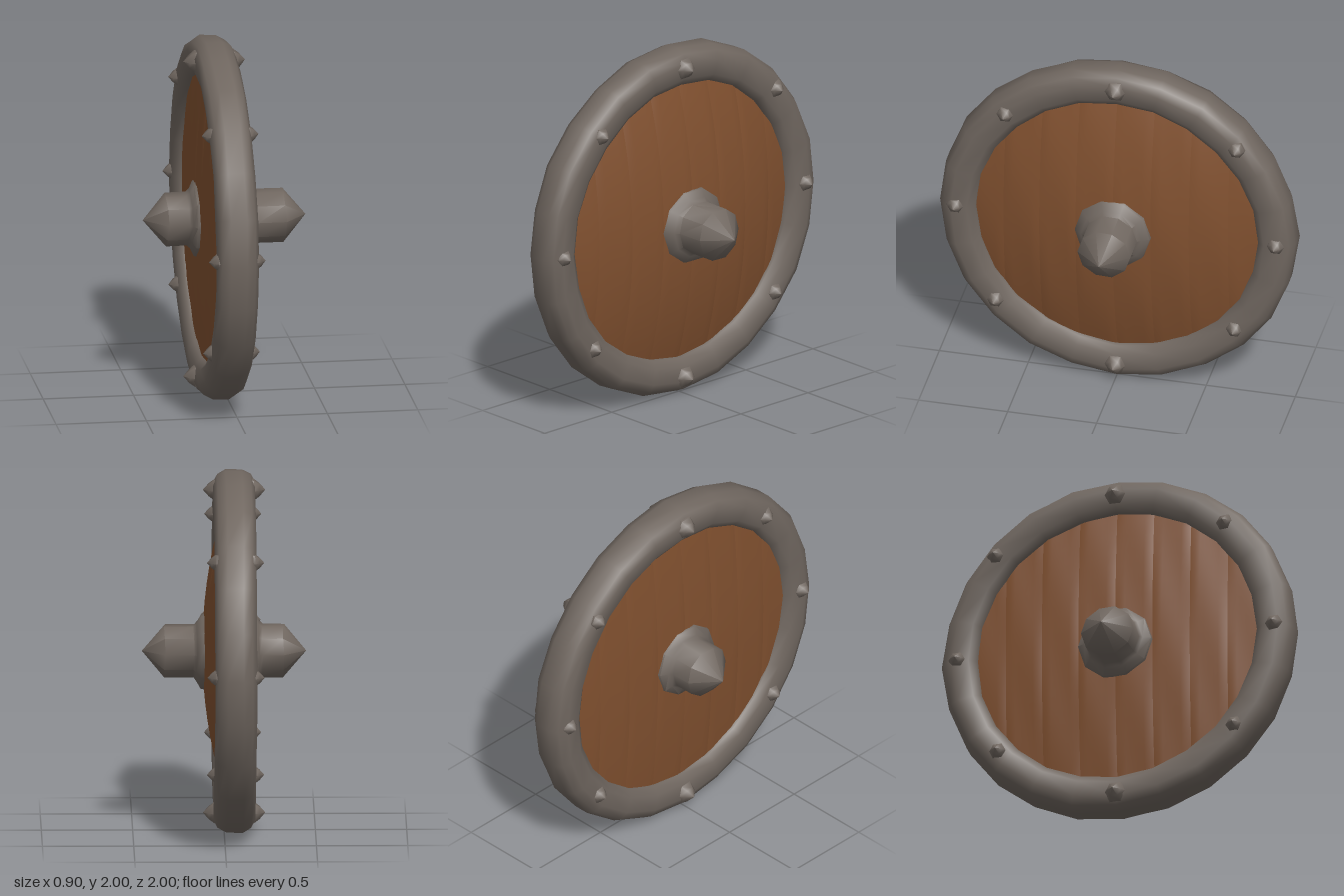
import * as THREE from 'three';
import { toCreasedNormals } from 'three/addons/utils/BufferGeometryUtils.js';

const RIM_X = -0.055;

export function createModel() {
  const group = new THREE.Group();
  const metal = new THREE.MeshStandardMaterial({ name: 'dull iron', color: 0x6f665f });
  const wood = new THREE.MeshStandardMaterial({ name: 'brown wood', color: 0x80502f });

  const add = (name, geometry, material) => {
    const mesh = new THREE.Mesh(geometry, material);
    mesh.name = name;
    group.add(mesh);
    return mesh;
  };

  // Profile of [radius, x] points turned about the shield's x axis, slightly hand-hammered
  const turned = (profile, segments, dent, crease) => {
    const g = new THREE.LatheGeometry(profile.map(([r, x]) => new THREE.Vector2(r, x)), segments);
    g.rotateZ(-Math.PI / 2);
    const p = g.attributes.position;
    for (let i = 0; i < p.count; i++) {
      const x = p.getX(i), y = p.getY(i), z = p.getZ(i);
      const k = 1 + dent * Math.sin(y * 13 + x * 19) * Math.cos(z * 17 - x * 11);
      p.setXYZ(i, x + dent * 0.6 * Math.sin(y * 21 + z * 16), y * k, z * k);
    }
    return toCreasedNormals(g, crease);
  };

  // Iron rim: closed rounded section
  const half = [[0.79, 0.035], [0.795, 0.075], [0.835, 0.106], [0.925, 0.115], [0.972, 0.092], [0.998, 0.045]];
  const section = [
    ...half.map(([r, x]) => [r, RIM_X - x]),
    ...half.map(([r, x]) => [r, RIM_X + x]).reverse(),
  ];
  section.push(section[0]);
  add('rim', turned(section, 24, 0.005, 1.2), metal).position.y = 1;

  // Domed wooden faces made of upright planks with shallow closed seams
  const R = 0.84, planks = 8;
  for (const side of [1, -1]) {
    const [base, rise] = side > 0 ? [-0.015, 0.133] : [0.113, 0.05];
    for (let n = 0; n < planks; n++) {
      const g = new THREE.PlaneGeometry(1, 1, 8, 18);
      const p = g.attributes.position;
      for (let i = 0; i < p.count; i++) {
        const u = p.getX(i) + 0.5, v = p.getY(i) * 2;
        const z = -R + (2 * R * (n + u)) / planks;
        const y = v * Math.sqrt(Math.max(0, R * R - z * z));
        const dome = base + rise * (1 - (y * y + z * z) / (R * R));
        const atSeam = u < 0.01 || u > 0.99;
        const relief = atSeam ? -0.003 : 0.002 * Math.sin(n * 5 + y * 6 + u * 4);
        p.setXYZ(i, side * (dome + relief), y, -side * z);
      }
      g.computeVertexNormals();
      add(side > 0 ? 'leftPlank' : 'rightPlank', g, wood).position.y = 1;
    }
  }

  // Central bosses: flared collar, thick post and pointed cap
  for (const side of [1, -1]) {
    const collar = side > 0
      ? [[0.222, 0.07], [0.21, 0.125], [0.17, 0.148], [0.148, 0.165]]
      : [[0.222, 0.11], [0.208, 0.172], [0.165, 0.192], [0.148, 0.21]];
    const profile = [...collar, [0.148, 0.325], [0, 0.45]];
    const boss = add(side > 0 ? 'leftBoss' : 'rightBoss', turned(profile, 10, 0.008, 1.0), metal);
    boss.position.y = 1;
    if (side < 0) boss.rotation.y = Math.PI;
  }

  // Pointed studs on both faces of the rim as [height from centre, z, radius]
  const studs = [
    [0.895, 0, 0.066], [-0.9, 0, 0.066], [0.01, 0.9, 0.052], [0.01, -0.9, 0.052],
    [0.65, 0.62, 0.052], [0.61, -0.68, 0.052], [-0.575, 0.675, 0.052], [-0.57, -0.67, 0.052],
  ];
  const stud = turned([[1.1, -0.9], [0.95, 0.05], [0.6, 0.5], [0, 1]], 6, 0.04, 1.0);
  for (const side of [1, -1]) {
    for (const [y, z, r] of studs) {
      const m = add('rimStud', stud, metal);
      m.scale.set(r, r, r);
      m.position.set(RIM_X + side * 0.105, 1 + y, z);
      if (side < 0) m.rotation.y = Math.PI;
    }
  }
  return group;
}
